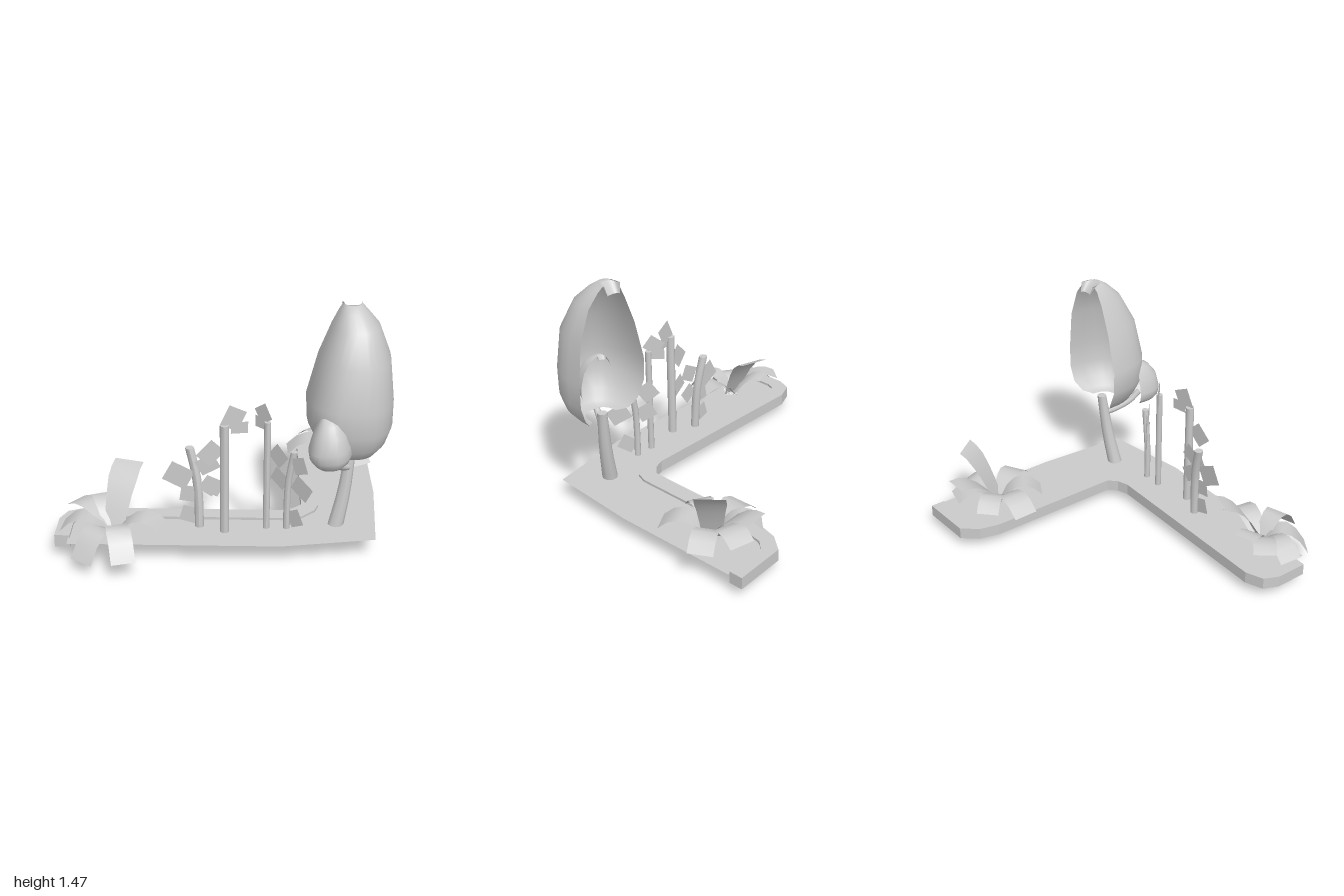
import * as THREE from 'three';

const solid = new THREE.MeshStandardMaterial({ color: 0xcccccc });
const sheet = new THREE.MeshStandardMaterial({ color: 0xcccccc, side: THREE.DoubleSide });

function add(parent, name, geometry, material = solid) {
  const mesh = new THREE.Mesh(geometry, material);
  mesh.name = name;
  parent.add(mesh);
  return mesh;
}

// Floor outline given as [x, z] pairs
const plan = (pts) => new THREE.Shape(pts.map(([x, z]) => new THREE.Vector2(x, -z)));

// Smooth surface joining rows of equally many points
function loft(rows) {
  const n = rows[0].length, index = [];
  for (let i = 0; i < rows.length - 1; i++)
    for (let j = 0; j < n - 1; j++) {
      const a = i * n + j, b = a + n;
      index.push(a, b, a + 1, b, b + 1, a + 1);
    }
  const g = new THREE.BufferGeometry();
  g.setAttribute('position', new THREE.Float32BufferAttribute(rows.flat(2), 3));
  g.setIndex(index);
  g.computeVertexNormals();
  return g;
}

// Tapered cylinder whose rings follow a curve through the given points
function stem(points, r0, r1) {
  const curve = new THREE.CatmullRomCurve3(points.map((p) => new THREE.Vector3(...p)));
  const g = new THREE.CylinderGeometry(r1, r0, 1, 9, 5);
  const pos = g.attributes.position;
  for (let i = 0; i < pos.count; i++) {
    const c = curve.getPoint(THREE.MathUtils.clamp(pos.getY(i) + 0.5, 0, 1));
    pos.setXYZ(i, c.x + pos.getX(i), c.y, c.z + pos.getZ(i));
  }
  g.computeVertexNormals();
  return g;
}

// Arching strip from a bush centre to a tip; bend is the control height
function frond([cx, cy, cz], [tx, ty, tz, bend, width = 0.16]) {
  const curve = new THREE.QuadraticBezierCurve3(
    new THREE.Vector3(cx, cy, cz),
    new THREE.Vector3((cx + tx) / 2, bend, (cz + tz) / 2),
    new THREE.Vector3(tx, ty, tz));
  const side = new THREE.Vector2(-(tz - cz), tx - cx).normalize();
  const rows = [];
  for (let i = 0; i <= 5; i++) {
    const p = curve.getPoint(i / 5);
    const w = (width / 2) * (0.65 + 0.35 * Math.min(1, i / 3));
    rows.push([-w, w].map((s) => [p.x + side.x * s, p.y, p.z + side.y * s]));
  }
  return loft(rows);
}

// Half shell, open at the back; rows are y, left x, right x, front z, back z
function crownShell() {
  const rows = [
    [1.41, 0.66, 0.75, 0.245, 0.22], [1.47, 0.645, 0.76, 0.30, 0.235],
    [1.475, 0.655, 0.755, 0.335, 0.25], [1.44, 0.63, 0.79, 0.39, 0.26],
    [1.36, 0.59, 0.86, 0.475, 0.265], [1.18, 0.52, 0.93, 0.57, 0.265],
    [0.93, 0.457, 0.958, 0.61, 0.265], [0.78, 0.463, 0.958, 0.605, 0.265],
    [0.68, 0.51, 0.925, 0.57, 0.27], [0.62, 0.56, 0.87, 0.53, 0.30],
    [0.605, 0.62, 0.81, 0.46, 0.35],
  ];
  const pw = (v) => Math.sign(v) * Math.abs(v) ** 0.8;
  return loft(rows.map(([y, xl, xr, zf, zb]) => {
    const ring = [];
    for (let j = 0; j <= 14; j++) {
      const t = (j / 14) * Math.PI;
      ring.push([(xl + xr) / 2 - pw(Math.cos(t)) * (xr - xl) / 2 - 0.7, y - 0.6,
        zb + (zf - zb) * pw(Math.max(0, Math.sin(t))) - 0.265]);
    }
    return ring;
  }));
}

export function createModel() {
  const model = new THREE.Group();
  model.name = 'gardenCorner';

  // Curb along the inner side of the bed, hooked at both ends
  const curb = new THREE.ExtrudeGeometry(plan([
    [-1, 0.61], [-1, 0.41], [-0.96, 0.32], [-0.85, 0.275], [0.33, 0.275], [0.4, 0.25],
    [0.45, 0.2], [0.45, -0.65], [0.48, -0.77], [0.56, -0.87], [0.89, -0.89],
    [0.89, -0.8], [0.62, -0.79], [0.57, -0.74], [0.555, -0.65], [0.555, 0.2],
    [0.53, 0.27], [0.45, 0.35], [0.33, 0.375], [-0.85, 0.375], [-0.89, 0.4],
    [-0.91, 0.45], [-0.91, 0.61],
  ]), { depth: 0.075, bevelEnabled: false });
  add(model, 'curb', curb.rotateX(-Math.PI / 2).translate(0, 0.075, 0));

  // Flat soil, open on the outer side
  const soil = new THREE.ShapeGeometry(plan([
    [-0.92, 0.68], [0.32, 0.68], [0.87, 0.59], [0.91, 0], [0.9, -0.8], [0.6, -0.8],
    [0.54, -0.65], [0.54, 0.2], [0.44, 0.34], [0.33, 0.36], [-0.85, 0.36], [-0.92, 0.42],
  ]));
  add(model, 'soil', soil.rotateX(-Math.PI / 2).translate(0, 0.135, 0), sheet);

  // Stalks, each with flat leaves [x, y, width, height, tilt] in one upright plane
  const stalks = [
    { path: [[-0.01, 0.12, 0.51], [-0.01, 0.82, 0.51]], r: 0.027, yaw: 0.17, leaves: [
      [0.04, 0.86, 0.11, 0.13, -0.45], [0.075, 0.8, 0.1, 0.07, 0],
      [-0.09, 0.65, 0.13, 0.11, 0.8], [-0.08, 0.44, 0.12, 0.1, -0.5]] },
    { path: [[0.235, 0.12, 0.46], [0.235, 0.82, 0.46]], r: 0.02, yaw: -0.78, leaves: [
      [0.21, 0.86, 0.1, 0.1, 0.6], [0.2, 0.8, 0.1, 0.07, 0]] },
    { path: [[-0.16, 0.12, 0.45], [-0.165, 0.35, 0.44], [-0.18, 0.48, 0.43], [-0.215, 0.635, 0.42]],
      r: 0.027, yaw: 0.03, leaves: [
      [-0.28, 0.47, 0.15, 0.13, -0.5], [-0.22, 0.35, 0.1, 0.1, -0.15],
      [-0.11, 0.54, 0.12, 0.1, 0.5], [-0.21, 0.21, 0.12, 0.1, -0.3],
      [-0.1, 0.4, 0.1, 0.1, -0.6]] },
    { path: [[0.355, 0.12, 0.46], [0.355, 0.35, 0.46], [0.365, 0.48, 0.46], [0.39, 0.635, 0.465]],
      r: 0.02, yaw: -0.74, leaves: [
      [0.3, 0.58, 0.11, 0.11, 0.9], [0.42, 0.57, 0.1, 0.1, 0.4], [0.435, 0.43, 0.13, 0.11, -0.5],
      [0.31, 0.44, 0.11, 0.1, -0.5], [0.4, 0.22, 0.1, 0.1, 0.5]] },
  ];
  for (const { path, r, yaw, leaves } of stalks) {
    add(model, 'stalk', stem(path, r, r));
    const [sx, , sz] = path[0];
    for (const [x, y, w, h, tilt] of leaves) {
      const leaf = add(model, 'stalkLeaf', new THREE.PlaneGeometry(w, h), sheet);
      leaf.position.set(x, y, sz - (x - sx) * Math.tan(yaw));
      leaf.rotation.set(0, yaw, tilt, 'YXZ');
    }
  }

  // Bushes: fronds as tip x, y, z, bend height and optional width
  const bushes = [
    { centre: [-0.66, 0.14, 0.57], fronds: [
      [-0.58, 0.49, 0.3, 0.47, 0.18], [-0.34, 0.2, 0.62, 0.38], [-0.57, 0.12, 0.87, 0.42, 0.14],
      [-0.82, 0.09, 0.81, 0.36, 0.15], [-0.96, 0.18, 0.54, 0.36, 0.15],
      [-0.9, 0.26, 0.38, 0.36, 0.14], [-0.74, 0.3, 0.36, 0.34, 0.14], [-0.61, 0.01, 0.53, 0.2, 0.08]] },
    { centre: [0.7, 0.14, -0.5], fronds: [
      [0.86, 0.52, -0.63, 0.46, 0.18], [0.68, 0.38, -0.81, 0.4], [0.38, 0.19, -0.49, 0.38],
      [0.57, 0.2, -0.25, 0.38, 0.14], [0.85, 0.2, -0.24, 0.36, 0.15],
      [0.94, 0.2, -0.63, 0.38, 0.15], [0.5, 0.22, -0.7, 0.38, 0.14],
      [0.76, 0.24, -0.78, 0.38, 0.16], [0.76, 0.01, -0.51, 0.2, 0.08]] },
  ];
  for (const { centre, fronds } of bushes) {
    const bush = new THREE.Group();
    bush.name = 'bush';
    model.add(bush);
    for (const f of fronds) add(bush, 'frond', frond(centre, f), sheet);
  }

  // Tree: leaning trunk, side branch, large and small hollow crowns
  add(model, 'trunk', stem([[0.635, 0.075, 0.41], [0.69, 0.34, 0.38], [0.725, 0.63, 0.355]], 0.05, 0.03));
  const branch = new THREE.CatmullRomCurve3([[0.71, 0.5, 0.38], [0.67, 0.53, 0.44],
    [0.63, 0.58, 0.52], [0.61, 0.64, 0.58]].map((p) => new THREE.Vector3(...p)));
  add(model, 'branch', new THREE.TubeGeometry(branch, 8, 0.02, 8), sheet);

  const crown = crownShell();
  add(model, 'largeCrown', crown, sheet).position.set(0.7, 0.6, 0.265);
  const small = add(model, 'smallCrown', crown, sheet);
  small.position.set(0.6, 0.6, 0.52);
  small.scale.set(0.49, 0.34, 0.5);
  small.rotation.set(0, -0.2, 0.1);

  return model;
}
